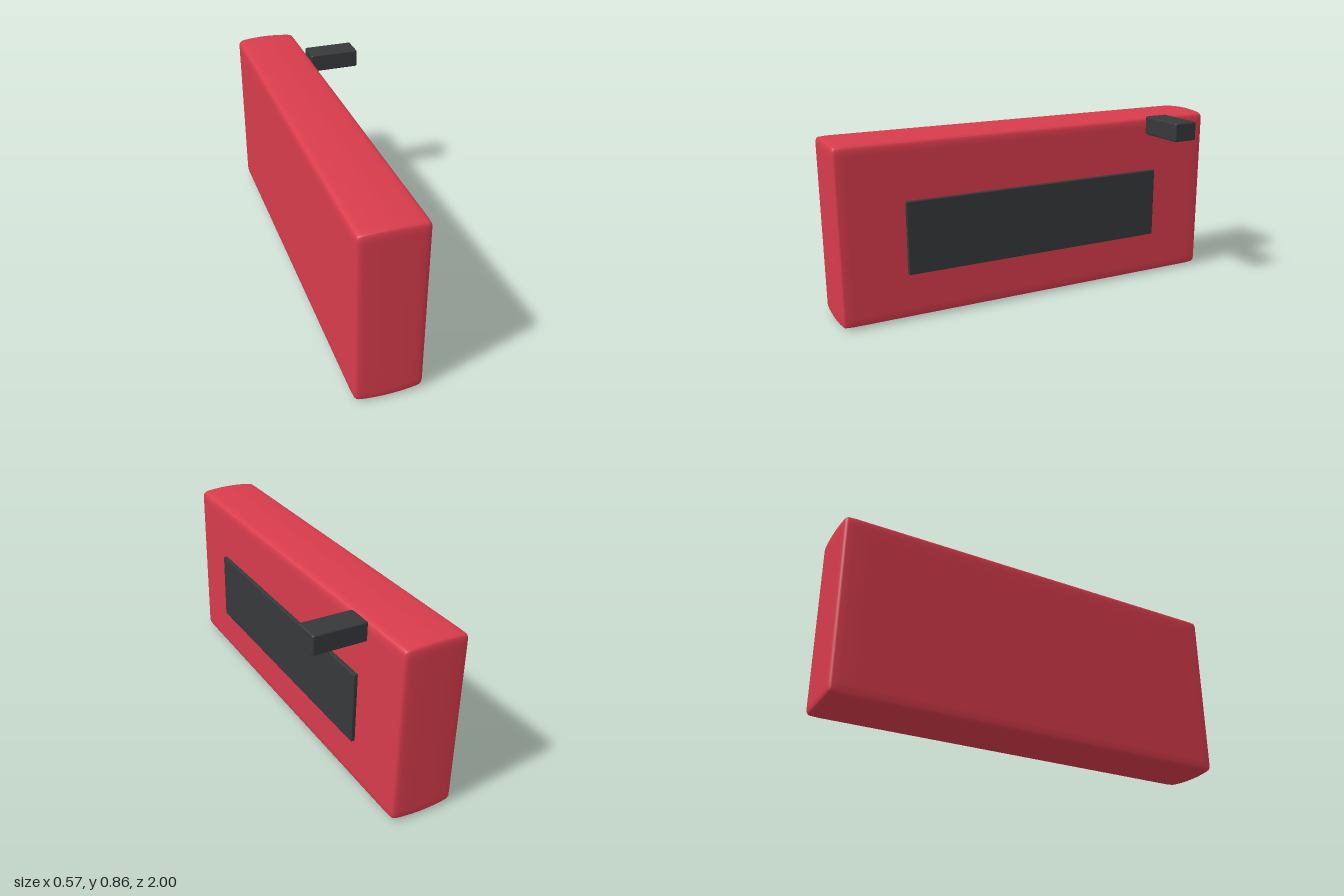
import * as THREE from 'three';
import { mergeVertices } from 'three/addons/utils/BufferGeometryUtils.js';
import { RoundedBoxGeometry } from 'three/addons/geometries/RoundedBoxGeometry.js';

const red = new THREE.MeshStandardMaterial({ color: 0xd83c4c });
const dark = new THREE.MeshStandardMaterial({ color: 0x36383a });

// Box with rounded edges whose top, bottom and ends swell slightly across its thickness
function pillowBox(w, h, d, radius, bulge) {
  const geo = new THREE.BoxGeometry(2, 2, 2, 20, 20, 20);
  geo.deleteAttribute('normal');
  geo.deleteAttribute('uv');
  const half = new THREE.Vector3(w / 2, h / 2 - bulge, d / 2 - bulge / 2);
  const inner = half.clone().subScalar(radius);
  const outer = inner.clone().negate();
  const pos = geo.attributes.position;
  const p = new THREE.Vector3(), core = new THREE.Vector3();
  const spread = (t) => Math.sin(t * Math.PI / 2); // denser rows near the edges
  for (let i = 0; i < pos.count; i++) {
    p.fromBufferAttribute(pos, i);
    p.set(spread(p.x), spread(p.y), spread(p.z)).multiply(half);
    core.copy(p).clamp(outer, inner);
    p.sub(core);
    if (p.lengthSq() > 0) p.setLength(radius);
    p.add(core);
    const swell = bulge * (1 - (p.x / half.x) ** 2);
    p.y += swell * p.y / half.y;
    p.z += 0.5 * swell * p.z / half.z;
    pos.setXYZ(i, p.x, p.y, p.z);
  }
  const smooth = mergeVertices(geo, 1e-5);
  smooth.computeVertexNormals();
  return smooth;
}

function part(name, geometry, material, x, y, z) {
  const mesh = new THREE.Mesh(geometry, material);
  mesh.name = name;
  mesh.position.set(x, y, z);
  return mesh;
}

export function createModel() {
  const model = new THREE.Group();
  model.name = 'slabWithHandle';

  // Large upright slab
  model.add(part('body', pillowBox(0.312, 0.863, 2, 0.025, 0.011), red, -0.129, 0.4315, 0));

  // Thin raised panel on the left face
  model.add(part('sidePanel', new RoundedBoxGeometry(0.04, 0.35, 1.36, 3, 0.004), dark, 0.025, 0.403, 0));

  // Handle bar standing out near the upper rear corner
  const handle = new THREE.Group();
  handle.name = 'handle';
  handle.add(part('handleBar', new RoundedBoxGeometry(0.255, 0.092, 0.124, 3, 0.008), dark, 0.158, 0.818, -0.683));

  // Small tapered foot joining the bar to the body
  const wedge = new THREE.Shape([
    new THREE.Vector2(0.015, 0.757), new THREE.Vector2(0.03, 0.76),
    new THREE.Vector2(0.07, 0.775), new THREE.Vector2(0.07, 0.79), new THREE.Vector2(0.015, 0.79),
  ]);
  const foot = new THREE.ExtrudeGeometry(wedge, { depth: 0.06, bevelEnabled: false });
  handle.add(part('handleFoot', foot, dark, 0, 0, -0.713));
  model.add(handle);

  return model;
}
